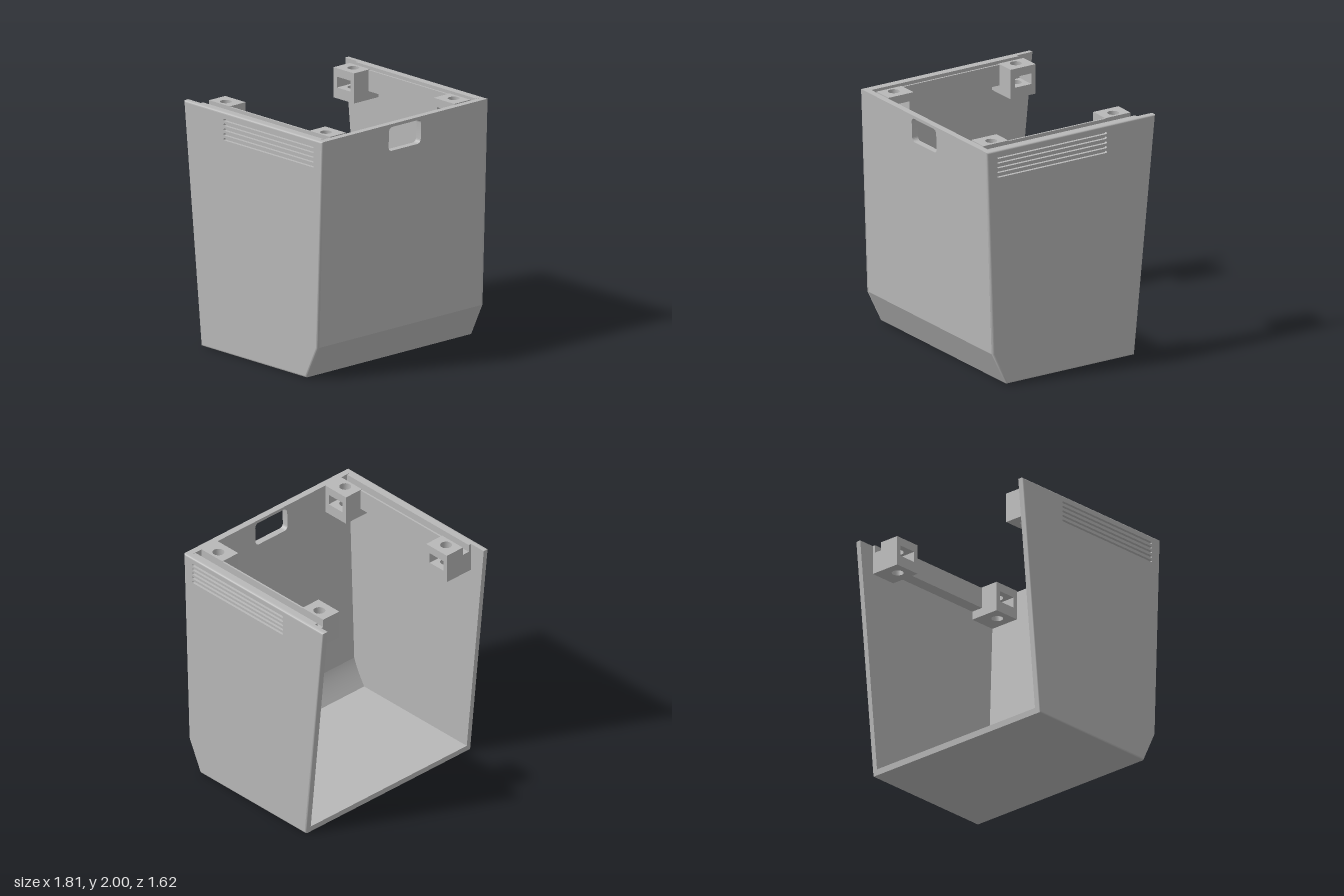
import * as THREE from 'three';
import { toCreasedNormals } from 'three/addons/utils/BufferGeometryUtils.js';

const TOP = 1.995, IN = 0.855, MID = 0.88, OUT = 0.905, ROUND = 0.014;

// side outline as [-z, y], counter-clockwise
const OUTLINE = [[-0.62, 0], [0.605, 0], [0.807, TOP], [-0.81, TOP], [-0.75, 0.27]];

const polygon = pts => new THREE.Shape(pts.map(p => new THREE.Vector2(...p)));
const extrude = (shape, depth) => new THREE.ExtrudeGeometry(shape, { depth, bevelEnabled: false, curveSegments: 12 });

// shape drawn in (-z, y), running along x from x0 to x1
const alongX = (shape, x0, x1) => extrude(shape, x1 - x0).rotateY(Math.PI / 2).translate(x0, 0, 0);
// shape drawn in (x, -z), rising from y0 to y1
const alongY = (shape, y0, y1) => extrude(shape, y1 - y0).rotateX(-Math.PI / 2).translate(0, y0, 0);

function box(x0, x1, y0, y1, z0, z1) {
  return new THREE.BoxGeometry(x1 - x0, y1 - y0, z1 - z0)
    .translate((x0 + x1) / 2, (y0 + y1) / 2, (z0 + z1) / 2);
}

function inset(pts, d) {
  const n = pts.length;
  const normal = i => {
    const a = pts[i % n], b = pts[(i + 1) % n];
    return new THREE.Vector2(a[1] - b[1], b[0] - a[0]).normalize();
  };
  return pts.map((p, i) => {
    const n1 = normal(i + n - 1), n2 = normal(i), k = d / (1 + n1.dot(n2));
    return [p[0] + (n1.x + n2.x) * k, p[1] + (n1.y + n2.y) * k];
  });
}

function roundedRect(path, x0, x1, y0, y1, r) {
  path.absarc(x1 - r, y0 + r, r, -Math.PI / 2, 0);
  path.absarc(x1 - r, y1 - r, r, 0, Math.PI / 2);
  path.absarc(x0 + r, y1 - r, r, Math.PI / 2, Math.PI);
  path.absarc(x0 + r, y0 + r, r, Math.PI, Math.PI * 1.5);
  path.closePath();
  return path;
}

// rounded band round the outer edge of a side wall
function edgeBand() {
  const rows = [[OUTLINE, MID]], pos = [], n = OUTLINE.length;
  for (let i = 0; i <= 4; i++) {
    const a = i / 4 * Math.PI / 2;
    rows.push([inset(OUTLINE, ROUND * (1 - Math.cos(a))), OUT - ROUND + ROUND * Math.sin(a)]);
  }
  const at = (j, i) => [...rows[j][0][i % n], rows[j][1]];
  for (let j = 0; j < rows.length - 1; j++) {
    for (let i = 0; i < n; i++) {
      const a = at(j, i), b = at(j, i + 1), c = at(j + 1, i + 1), d = at(j + 1, i);
      pos.push(...a, ...b, ...c, ...a, ...c, ...d);
    }
  }
  const g = new THREE.BufferGeometry();
  g.setAttribute('position', new THREE.Float32BufferAttribute(pos, 3));
  g.computeVertexNormals();
  return toCreasedNormals(g.rotateY(Math.PI / 2), 0.6);
}

// mirror across x and turn the faces back outward
function mirrored(geometry) {
  const g = geometry.index ? geometry.toNonIndexed() : geometry.clone();
  for (const name of ['position', 'normal']) {
    const a = g.attributes[name];
    for (let i = 0; i < a.count; i += 3) {
      const v = [0, 2, 1].map(k => [-a.getX(i + k), a.getY(i + k), a.getZ(i + k)]);
      v.forEach((p, k) => a.setXYZ(i + k, ...p));
    }
  }
  return g;
}

export function createModel() {
  const model = new THREE.Group();
  model.name = 'openHousing';
  const grey = new THREE.MeshStandardMaterial({ color: 0xb8b8b8 });
  grey.name = 'plainGrey';

  const add = (name, geometry) => {
    const mesh = new THREE.Mesh(geometry, grey);
    mesh.name = name;
    model.add(mesh);
  };
  const addPair = (name, geometry) => {
    add('left' + name, geometry);
    add('right' + name, mirrored(geometry));
  };

  // leaning front panel with a rounded opening
  const front = polygon([[-IN, 0.27], [IN, 0.27], [IN, TOP], [-IN, TOP]]);
  front.holes.push(roundedRect(new THREE.Path(), -0.175, 0.175, 1.77, 1.97, 0.035));
  const frontGeo = extrude(front, 0.055).translate(0, 0, 0.695);
  const p = frontGeo.attributes.position;
  for (let i = 0; i < p.count; i++) {
    p.setZ(i, p.getZ(i) + (p.getY(i) - 0.27) * 0.06 / (TOP - 0.27));
  }
  frontGeo.computeVertexNormals();
  add('frontPanel', toCreasedNormals(frontGeo, 0.5));

  // floor and sloped lower front in one section
  const floor = polygon([[-0.75, 0.27], [-0.62, 0], [0.605, 0], [0.61, 0.05], [-0.58, 0.05]]);
  floor.quadraticCurveTo(-0.665, 0.18, -0.695, 0.27);
  add('floorAndLowerFront', toCreasedNormals(alongX(floor, -IN, IN), 0.4));

  // side walls: solid inner layer, slotted outer layer, rounded edge
  addPair('WallInner', alongX(polygon(OUTLINE), IN, MID));
  const skin = polygon(inset(OUTLINE, ROUND));
  for (let i = 0; i < 5; i++) {
    const y = 1.775 + i * 0.04;
    skin.holes.push(roundedRect(new THREE.Path(), -0.71, 0.34, y - 0.01, y + 0.01, 0.0095));
  }
  addPair('WallSlotted', alongX(skin, MID, OUT));
  addPair('WallEdge', edgeBand());

  // grooved rails along the tops of the side walls
  const grooveY = 1.93;
  addPair('Rail', box(0.75, IN, 1.82, grooveY, -0.42, 0.51));
  addPair('RailInnerLip', box(0.75, 0.765, grooveY, TOP, -0.42, 0.51));
  addPair('RailOuterLip', box(0.83, IN, grooveY, TOP, -0.66, 0.75));

  // corner blocks with a screw hole and a nut pocket
  for (const [name, zc] of [['Back', -0.54], ['Front', 0.63]]) {
    const c = -zc, h = 0.12;
    const drilled = x1 => {
      const s = polygon([[0.59, c - h], [x1, c - h], [x1, c + h], [0.59, c + h]]);
      s.holes.push(new THREE.Path().absarc(0.695, c, 0.048, 0, Math.PI * 2));
      return s;
    };
    const pocket = polygon([
      [0.59, c - h], [IN, c - h], [IN, c + h], [0.59, c + h],
      [0.59, c + 0.08], [0.76, c + 0.08], [0.76, c - 0.08], [0.59, c - 0.08]
    ]);
    addPair(name + 'BlockBase', toCreasedNormals(alongY(drilled(IN), 1.75, 1.84), 0.6));
    addPair(name + 'BlockPocket', alongY(pocket, 1.84, grooveY));
    addPair(name + 'BlockTop', toCreasedNormals(alongY(drilled(0.765), grooveY, 2), 0.6));
  }
  return model;
}
